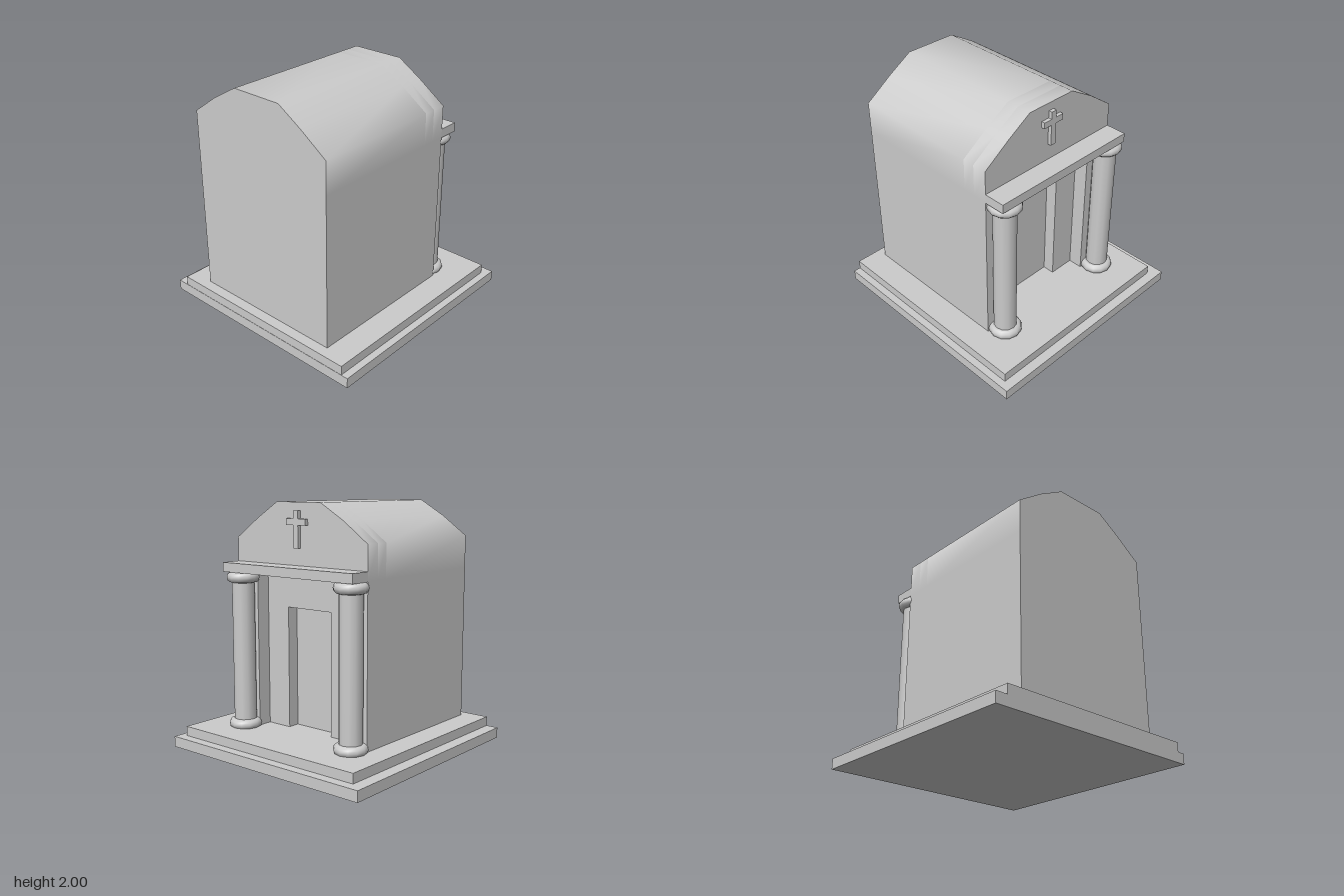
import * as THREE from 'three';
import { toCreasedNormals } from 'three/addons/utils/BufferGeometryUtils.js';

const material = new THREE.MeshStandardMaterial({ color: 0xcccccc });

function add(parent, name, geometry, x = 0, y = 0, z = 0) {
  const mesh = new THREE.Mesh(geometry, material);
  mesh.name = name;
  mesh.position.set(x, y, z);
  parent.add(mesh);
  return mesh;
}

// Box given by its limits on each axis
function block(parent, name, [x0, x1], [y0, y1], [z0, z1]) {
  const geometry = new THREE.BoxGeometry(x1 - x0, y1 - y0, z1 - z0);
  return add(parent, name, geometry, (x0 + x1) / 2, (y0 + y1) / 2, (z0 + z1) / 2);
}

const FLOOR = 0.165;
const LINTEL = 1.44;

// Outline of walls and vaulted roof as [z, y], from the +z foot to the -z foot
const outline = [
  [0.68, FLOOR], [0.68, LINTEL], [0.68, 1.71], [0.45, 1.87], [0.24, 2],
  [-0.205, 2], [-0.43, 1.87], [-0.655, 1.71], [-0.655, LINTEL], [-0.655, FLOOR],
];

// Slice of the building between two x positions, with an optional doorway notch
function slice(x0, x1, opening) {
  const points = [...outline];
  if (opening) {
    const [z0, z1, top] = opening;
    points.push([z0, FLOOR], [z0, top], [z1, top], [z1, FLOOR]);
  }
  const shape = new THREE.Shape(points.map(([z, y]) => new THREE.Vector2(-z, y)));
  const geometry = new THREE.ExtrudeGeometry(shape, { depth: x1 - x0, bevelEnabled: false });
  geometry.rotateY(Math.PI / 2);
  geometry.translate(x0, 0, 0);
  return toCreasedNormals(geometry, 1.2);
}

export function createModel() {
  const model = new THREE.Group();
  model.name = 'mausoleum';

  // Stepped base
  block(model, 'lowerStep', [-0.96, 0.955], [0, 0.087], [-0.96, 0.96]);
  block(model, 'upperStep', [-0.958, 0.875], [0.087, FLOOR], [-0.857, 0.9]);

  // Chamber with a recessed porch and a further recessed doorway
  const chamber = new THREE.Group();
  chamber.name = 'chamber';
  model.add(chamber);
  add(chamber, 'chamberBody', slice(-0.87, 0.24));
  add(chamber, 'doorwayWall', slice(0.24, 0.34, [-0.205, 0.24, 1.16]));
  add(chamber, 'porchFrame', slice(0.34, 0.46, [-0.43, 0.463, LINTEL]));

  // Ledge over the columns
  block(model, 'entablature', [0.46, 0.635], [LINTEL, 1.515], [-0.655, 0.68]);

  // Columns with a ring at foot and head
  for (const side of [1, -1]) {
    const column = new THREE.Group();
    column.name = side > 0 ? 'leftColumn' : 'rightColumn';
    column.position.set(0.53, 0, side * 0.557);
    model.add(column);
    const height = LINTEL - FLOOR;
    add(column, 'shaft', new THREE.CylinderGeometry(0.093, 0.093, height, 12), 0, FLOOR + height / 2, 0);
    for (const [name, y] of [['footRing', 0.191], ['headRing', 1.398]]) {
      const ring = new THREE.TorusGeometry(0.092, 0.043, 12, 12).rotateX(Math.PI / 2);
      add(column, name, ring, 0, y, 0);
    }
  }

  // Cross on the gable
  const cross = new THREE.Group();
  cross.name = 'cross';
  model.add(cross);
  block(cross, 'crossUpright', [0.46, 0.49], [1.65, 1.935], [-0.005, 0.043]);
  for (const [name, z] of [['crossLeftArm', [0.043, 0.117]], ['crossRightArm', [-0.08, -0.005]]]) {
    block(cross, name, [0.46, 0.49], [1.825, 1.875], z);
  }

  return model;
}
